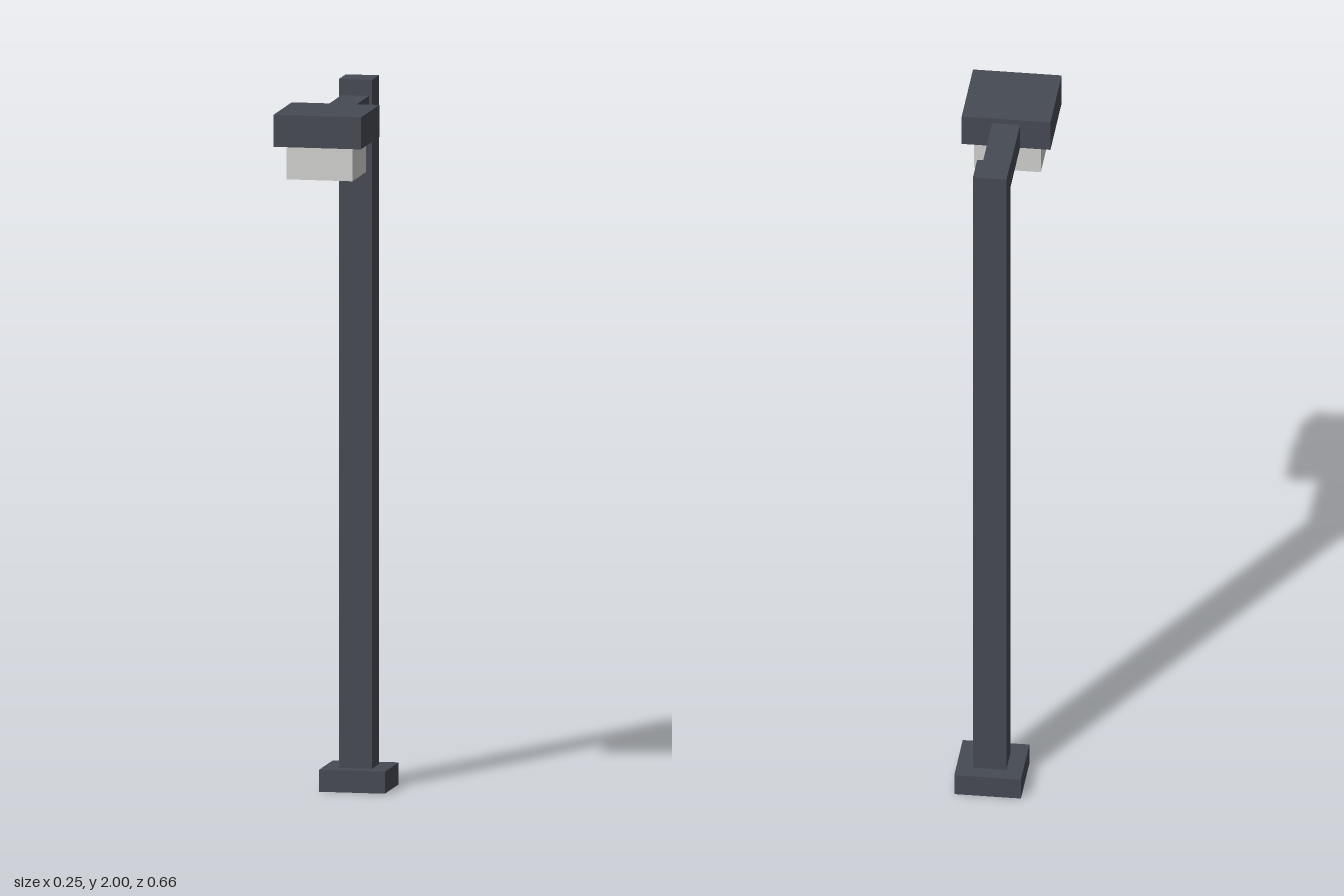
import * as THREE from 'three';

export function createModel() {
  const group = new THREE.Group();
  const metal = new THREE.MeshStandardMaterial({ color: 0x464a53 });
  metal.name = 'darkMetal';
  const glass = new THREE.MeshStandardMaterial({ color: 0xd0d0ce });
  glass.name = 'paleGlass';

  // Box centred on x = 0, given its width and its y and z extents
  function addBox(name, material, width, [y0, y1], [z0, z1]) {
    const mesh = new THREE.Mesh(new THREE.BoxGeometry(width, y1 - y0, z1 - z0), material);
    mesh.position.set(0, (y0 + y1) / 2, (z0 + z1) / 2);
    mesh.name = name;
    group.add(mesh);
  }

  // Foot and upright
  addBox('base', metal, 0.187, [0, 0.062], [-0.328, -0.142]);
  addBox('pole', metal, 0.094, [0.062, 2], [-0.282, -0.189]);

  // Arm reaching forward to the lamp head
  addBox('arm', metal, 0.078, [1.88, 1.955], [-0.189, 0.079]);
  addBox('lampHead', metal, 0.249, [1.88, 1.97], [0.079, 0.328]);

  // Glowing block hanging under the head
  addBox('lampGlass', glass, 0.187, [1.785, 1.88], [0.11, 0.297]);

  return group;
}
